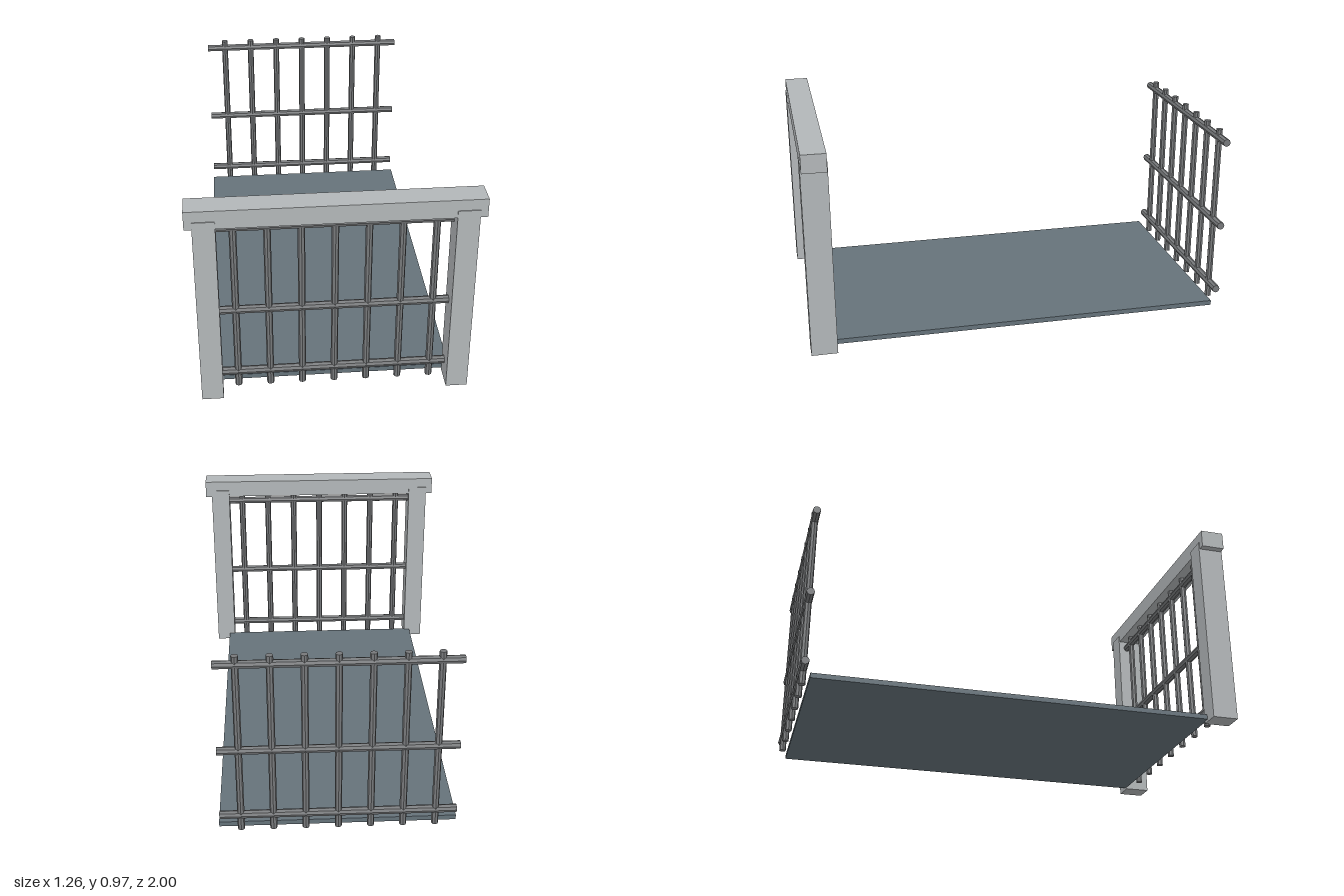
import * as THREE from 'three';

const stone = new THREE.MeshStandardMaterial({ color: 0xb2b6b8 });
stone.name = 'stone';
const iron = new THREE.MeshStandardMaterial({ color: 0x77797b, flatShading: true });
iron.name = 'iron';
const slate = new THREE.MeshStandardMaterial({ color: 0x65727a });
slate.name = 'slate';

// Box given by its minimum and maximum corners
function box(name, material, [x0, y0, z0], [x1, y1, z1]) {
  const mesh = new THREE.Mesh(new THREE.BoxGeometry(x1 - x0, y1 - y0, z1 - z0), material);
  mesh.name = name;
  mesh.position.set((x0 + x1) / 2, (y0 + y1) / 2, (z0 + z1) / 2);
  return mesh;
}

// Grate of seven upright bars crossed by three rails
function grate(name, z) {
  const group = new THREE.Group();
  group.name = name;
  group.position.z = z;

  const barGeometry = new THREE.CylinderGeometry(0.016, 0.016, 0.87, 8);
  for (let i = -3; i <= 3; i++) {
    const bar = new THREE.Mesh(barGeometry, iron);
    bar.name = 'uprightBar';
    bar.position.set(i * 0.1435, 0.453, 0);
    group.add(bar);
  }

  const railGeometry = new THREE.CylinderGeometry(0.0185, 0.0185, 1.05, 8).rotateZ(Math.PI / 2);
  for (const y of [0.093, 0.427, 0.847]) {
    const rail = new THREE.Mesh(railGeometry, iron);
    rail.name = 'crossRail';
    rail.position.y = y;
    group.add(rail);
  }
  return group;
}

export function createModel() {
  const model = new THREE.Group();
  model.name = 'barredCell';

  // Floor slab
  model.add(box('floor', slate, [-0.53, 0.012, -0.955], [0.53, 0.035, 0.885]));

  // Stone door frame; the posts stand slightly proud of the lintel
  model.add(box('leftPost', stone, [0.5, 0, 0.88], [0.596, 0.92, 1]));
  model.add(box('rightPost', stone, [-0.596, 0, 0.88], [-0.5, 0.92, 1]));
  model.add(box('lintel', stone, [-0.628, 0.885, 0.884], [0.628, 0.97, 0.996]));

  // Bars at both ends
  model.add(grate('frontGrate', 0.925));
  model.add(grate('backGrate', -0.98));

  return model;
}
